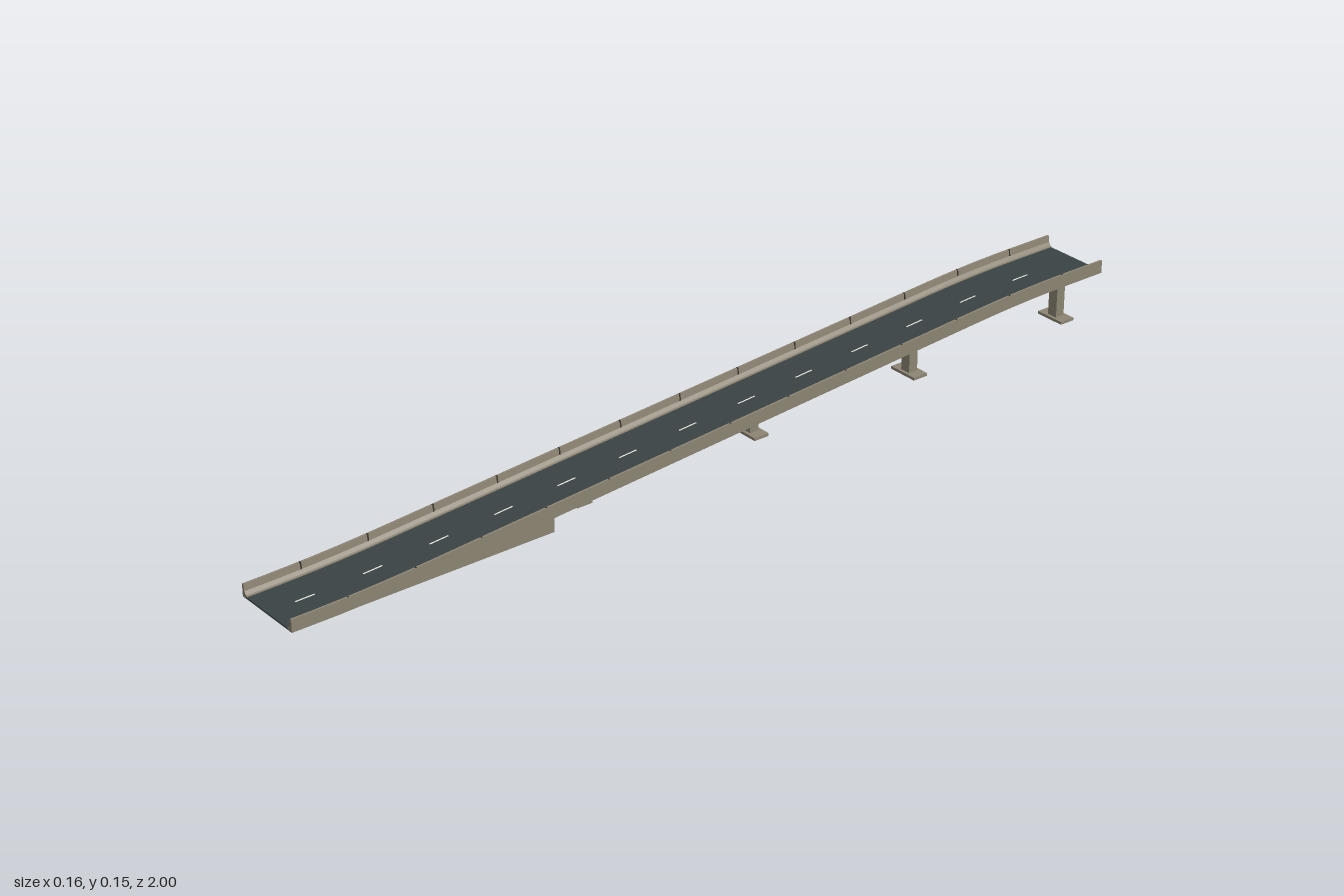
import * as THREE from 'three';

const material = (name, color) => new THREE.MeshStandardMaterial({ name, color });

// Height of the road surface: flat foot, steady climb, flat crest
function roadY(z) {
  const t = 1 - z, s = 0.0744, a = 0.3, b = 1.65, c = 1.9;
  let rise;
  if (t < a) rise = t * t / (2 * a);
  else if (t < b) rise = t - a / 2;
  else {
    const u = Math.min(t, c) - b;
    rise = b - a / 2 + u - u * u / (2 * (c - b));
  }
  return 0.0035 + s * rise;
}

// Sweeps an anticlockwise cross-section along the road, cut off at the floor
function sweep(section, zFront, zBack, floor = 0) {
  const steps = Math.max(1, Math.ceil((zFront - zBack) / 0.05));
  const pos = [], n = section.length;
  const ring = (k) => {
    const z = zFront + (zBack - zFront) * k / steps;
    return section.map(([x, y]) => [x, Math.max(floor, roadY(z) + y), z]);
  };
  for (let k = 0; k < steps; k++) {
    const p = ring(k), q = ring(k + 1);
    for (let i = 0; i < n; i++) {
      const j = (i + 1) % n;
      pos.push(...p[i], ...q[i], ...p[j], ...p[j], ...q[i], ...q[j]);
    }
  }
  // End faces
  const first = ring(0), last = ring(steps);
  const outline = section.map(([x, y]) => new THREE.Vector2(x, y));
  for (const [a, b, c] of THREE.ShapeUtils.triangulateShape(outline, [])) {
    pos.push(...first[a], ...first[b], ...first[c]);
    pos.push(...last[a], ...last[c], ...last[b]);
  }
  const g = new THREE.BufferGeometry();
  g.setAttribute('position', new THREE.Float32BufferAttribute(pos, 3));
  g.computeVertexNormals();
  return g;
}

const slab = (w, top, bottom) => [[-w, bottom], [w, bottom], [w, top], [-w, top]];
const mirror = (section) => section.map(([x, y]) => [-x, y]).reverse();

export function createModel() {
  const concrete = material('concrete', 0x8c8473);
  const soffitConcrete = material('dark concrete', 0x625d52);
  const asphalt = material('asphalt', 0x3a4345);
  const paint = material('white paint', 0xe6e6de);
  const seam = material('seam', 0x35322c);

  const model = new THREE.Group();
  model.name = 'rampBridge';
  const add = (name, geometry, mat, parent = model) => {
    const mesh = new THREE.Mesh(geometry, mat);
    mesh.name = name;
    parent.add(mesh);
    return mesh;
  };

  // Road surface and centre dashes
  add('road', sweep(slab(0.071, 0, -0.004), 1, -1, 0.0006), asphalt);
  for (let i = 0; i < 13; i++) {
    const z = 0.92 - 0.147 * i;
    add('centreDash', sweep(slab(0.0015, 0.0006, -0.0005), z + 0.021, z - 0.021), paint);
  }

  // Deck underside, narrowing downwards
  const soffit = [[-0.062, -0.011], [0.062, -0.011], [0.075, -0.004], [-0.075, -0.004]];
  add('deckSoffit', sweep(soffit, 0.43, -1), soffitConcrete);

  // Solid approach block at the low end
  add('abutment', sweep(slab(0.0805, -0.0045, -1), 1, 0.42), concrete);

  // Sloped safety barriers with narrow expansion joints
  const barrier = [[0.068, -0.005], [0.082, -0.005], [0.082, 0.0235], [0.0775, 0.0235],
    [0.0755, 0.010], [0.071, 0.003], [0.068, 0.002]];
  const joint = [[0.0775, 0.010], [0.0815, 0.010], [0.0815, 0.0239], [0.0771, 0.0239],
    [0.0751, 0.010]];
  for (const [side, flip] of [['left', (s) => s], ['right', mirror]]) {
    add(side + 'Barrier', sweep(flip(barrier), 1, -1), concrete);
    for (let i = 0; i < 13; i++) {
      const z = 0.88 - 0.147 * i;
      add(side + 'BarrierJoint', sweep(flip(joint), z, z - 0.003), seam);
    }
  }

  // Piers: footing, column and cap
  for (const z of [0.315, -0.12, -0.54, -0.955]) {
    const pier = new THREE.Group();
    pier.name = 'pier';
    pier.position.z = z;
    const top = roadY(z) - 0.008;
    const block = (name, w, h, d, y) =>
      add(name, new THREE.BoxGeometry(w, h, d), concrete, pier).position.set(0, y, 0);
    block('footing', 0.07, 0.006, 0.036, 0.003);
    block('column', 0.024, top, 0.022, top / 2);
    block('cap', 0.07, 0.008, 0.03, top - 0.004);
    model.add(pier);
  }
  return model;
}
